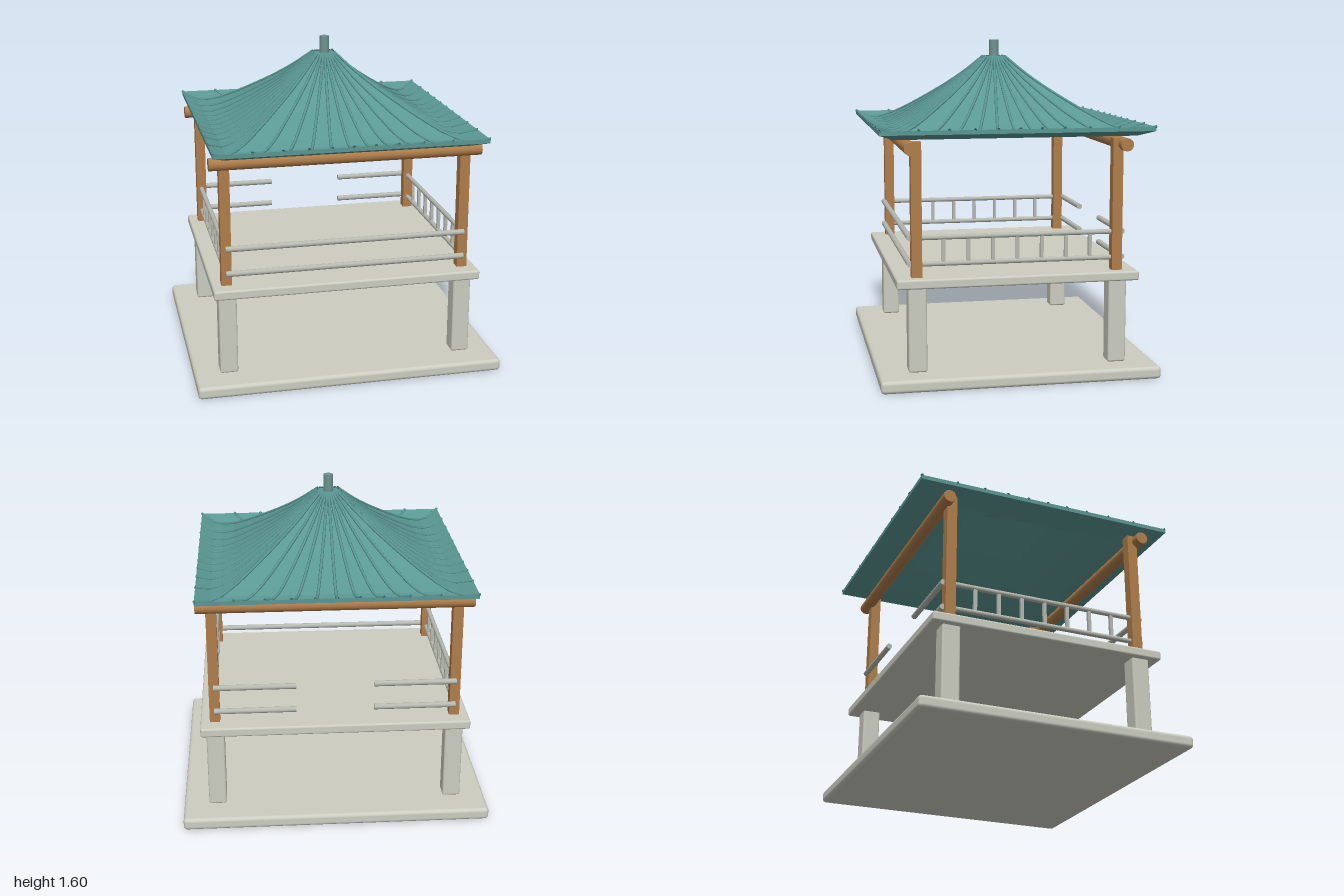
import * as THREE from 'three';
import { RoundedBoxGeometry } from 'three/addons/geometries/RoundedBoxGeometry.js';

const material = (name, color) => {
  const m = new THREE.MeshStandardMaterial({ color });
  m.name = name;
  return m;
};

export function createModel() {
  const stone = material('pale stone', 0xcccdc0);
  const railGrey = material('rail grey', 0xb6b9b0);
  const wood = material('warm wood', 0xb07d4a);
  const teal = material('teal roof', 0x5a9793);
  const tealGrey = material('grey teal finial', 0x6f9490);
  teal.side = THREE.DoubleSide;

  const model = new THREE.Group();
  model.name = 'pavilion';
  const body = new THREE.Group();
  body.name = 'pavilionBody';
  body.rotation.y = -0.7234; // the pavilion stands turned on its plot
  model.add(body);

  const add = (name, geometry, mat, x = 0, y = 0, z = 0) => {
    const mesh = new THREE.Mesh(geometry, mat);
    mesh.name = name;
    mesh.position.set(x, y, z);
    body.add(mesh);
    return mesh;
  };
  // Round bar along local x or z
  const bar = (name, radius, length, axis, mat, x, y, z) => {
    const mesh = add(name, new THREE.CylinderGeometry(radius, radius, length, 16), mat, x, y, z);
    if (axis === 'x') mesh.rotation.z = Math.PI / 2;
    else mesh.rotation.x = Math.PI / 2;
    return mesh;
  };

  // Ground slab and raised deck
  add('groundSlab', new RoundedBoxGeometry(1.51, 0.06, 1.34, 3, 0.018), stone, 0, 0.03, 0);
  add('deck', new RoundedBoxGeometry(1.315, 0.046, 1.165, 3, 0.01), stone, 0, 0.487, 0);

  // Legs below the deck, posts above it
  const px = 0.587, pz = 0.483;
  for (const sx of [-1, 1]) for (const sz of [-1, 1]) {
    add('leg', new RoundedBoxGeometry(0.088, 0.42, 0.088, 2, 0.01), stone, sx * px, 0.27, sz * pz);
    add('post', new THREE.BoxGeometry(0.05, 0.64, 0.05), wood, sx * px, 0.825, sz * pz);
  }

  // Two round beams along the outside of the posts
  for (const sz of [-1, 1]) bar('beam', 0.031, 1.32, 'x', wood, 0, 1.117, sz * 0.513);

  // Railings: balustrades on the ends, a plain side, and a side with an entrance gap
  const rails = [0.57, 0.695];
  for (const y of rails) {
    for (const sx of [-1, 1]) {
      bar('endRail', 0.012, 0.95, 'z', railGrey, sx * px, y, 0);
      bar('entranceRail', 0.014, 0.4, 'x', railGrey, sx * 0.39, y, -0.513);
    }
    bar('sideRail', 0.014, 1.18, 'x', railGrey, 0, y, 0.513);
  }
  for (const sx of [-1, 1]) for (let i = -3; i <= 3; i++) {
    add('baluster', new THREE.BoxGeometry(0.016, 0.125, 0.016), railGrey, sx * px, 0.632, i * 0.118);
  }

  // Concave square roof with upturned eaves: [fraction of half width, height]
  const half = 0.655;
  const profile = [
    [0.075, 1.515], [0.2, 1.437], [0.32, 1.373], [0.43, 1.321], [0.54, 1.272],
    [0.64, 1.231], [0.73, 1.198], [0.82, 1.175], [0.89, 1.172], [1, 1.2],
  ];
  const underside = [[1, 1.18], [0.89, 1.153], [0.73, 1.18], [0.54, 1.254], [0.32, 1.355], [0.075, 1.497]];
  const outline = [[0.0001, 1.515], ...profile, ...underside, [0.0001, 1.497]]
    .map(([t, y]) => new THREE.Vector2(t * half * Math.SQRT2, y))
    .reverse();
  const roofGeometry = new THREE.LatheGeometry(outline, 4).rotateY(Math.PI / 4).toNonIndexed();
  roofGeometry.computeVertexNormals();
  add('roof', roofGeometry, teal);

  // Ribs radiating from the crown to the eaves
  const ribCount = 40;
  for (let i = 0; i < ribCount; i++) {
    const a = (i / ribCount) * Math.PI * 2 + Math.PI / 4;
    const c = Math.cos(a), s = Math.sin(a);
    const reach = half / Math.max(Math.abs(c), Math.abs(s));
    const path = new THREE.CatmullRomCurve3(profile.map(([t, y]) =>
      new THREE.Vector3(c * reach * t, y + 0.002, s * reach * t)));
    add('roofRib', new THREE.TubeGeometry(path, 18, 0.007, 6), teal);
  }

  // Finial on the crown
  add('finial', new THREE.CylinderGeometry(0.024, 0.024, 0.1, 16), tealGrey, 0, 1.55, 0);

  return model;
}
